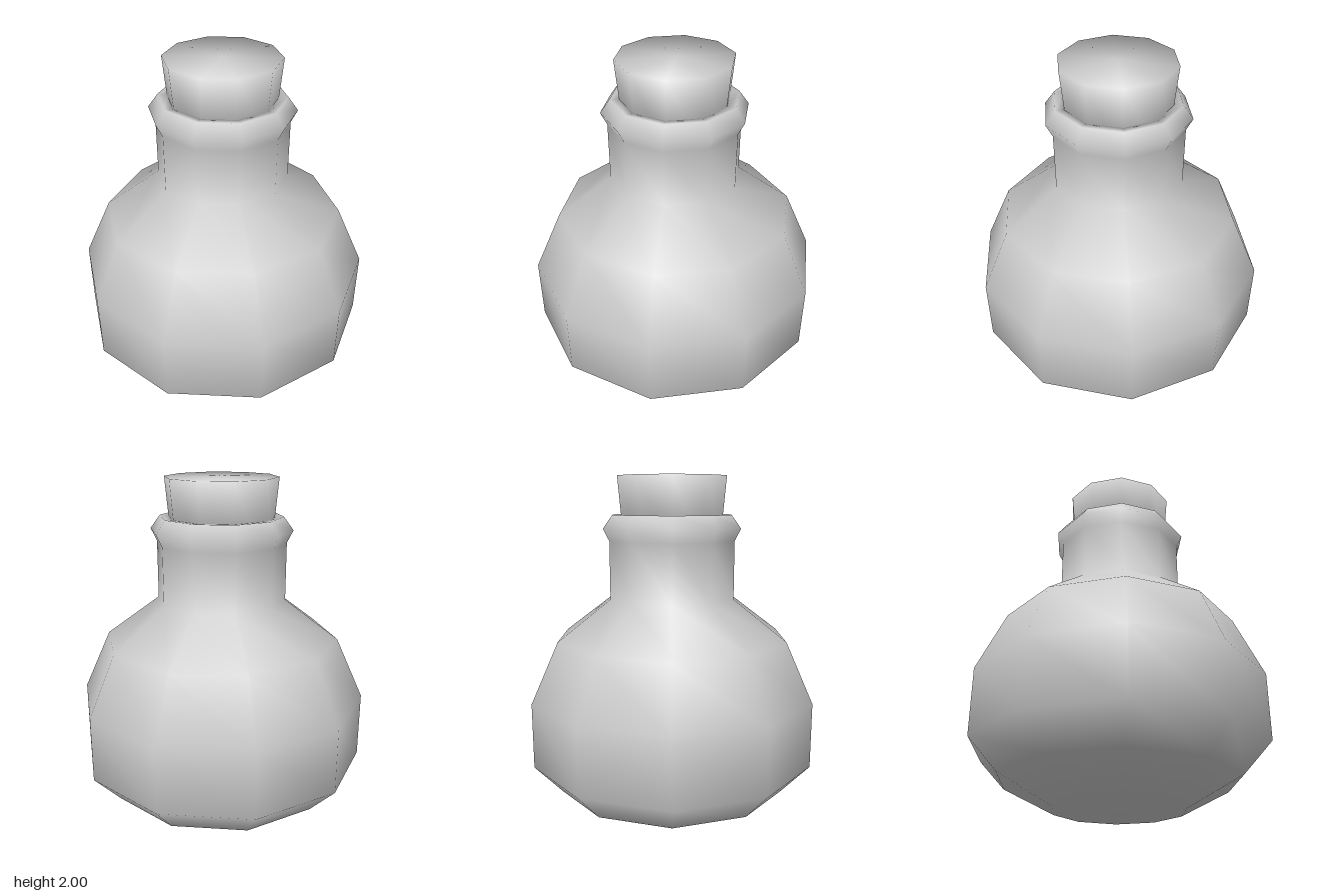
import * as THREE from 'three';

const SIDES = 10;

// Ten-sided smooth turned part, with corners on the x axis
function turned(name, profile) {
  const points = profile.map(([r, y]) => new THREE.Vector2(r, y));
  const geometry = new THREE.LatheGeometry(points, SIDES, Math.PI / 2);
  const material = new THREE.MeshStandardMaterial({ color: 0xcccccc });
  const mesh = new THREE.Mesh(geometry, material);
  mesh.name = name;
  return mesh;
}

export function createModel() {
  const group = new THREE.Group();
  group.name = 'corkedFlask';

  // Round belly, straight neck and flared lip folding inside the mouth
  group.add(turned('bottle', [
    [0, 0], [0.37, 0.02], [0.68, 0.18], [0.84, 0.35], [0.84, 0.73],
    [0.68, 1.08], [0.37, 1.31], [0.37, 1.64], [0.405, 1.71],
    [0.35, 1.785], [0.3, 1.78], [0.29, 1.68],
  ]));

  // Tapered cork seated in the mouth
  group.add(turned('cork', [
    [0, 1.62], [0.285, 1.62], [0.32, 2], [0, 2],
  ]));

  return group;
}
